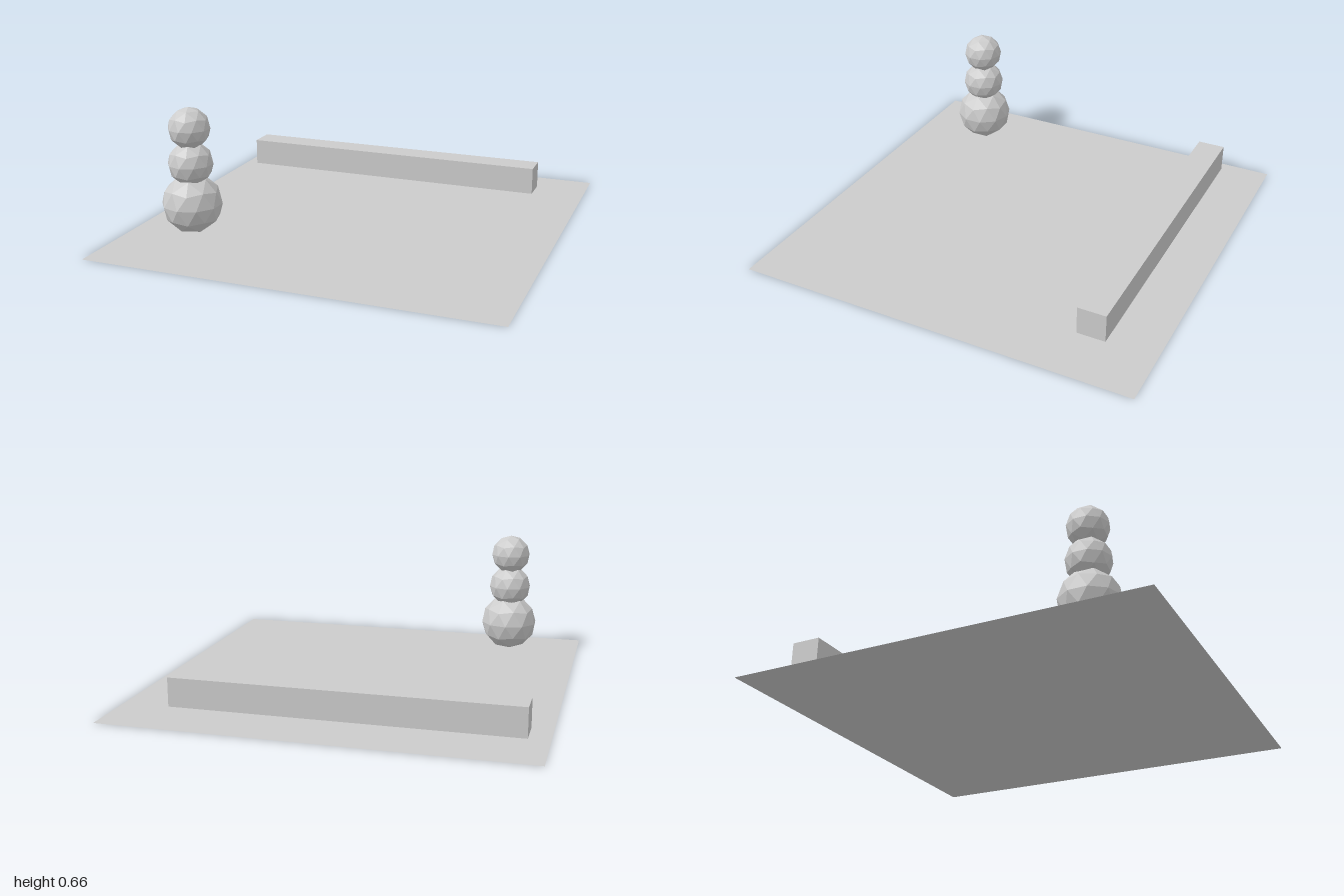
import * as THREE from 'three';

export function createModel() {
  const model = new THREE.Group();
  const grey = new THREE.MeshStandardMaterial({ color: 0xcccccc, flatShading: true });

  const add = (name, geometry, x, y, z, material = grey, parent = model) => {
    const mesh = new THREE.Mesh(geometry, material);
    mesh.name = name;
    mesh.position.set(x, y, z);
    parent.add(mesh);
    return mesh;
  };

  // Flat ground sheet, visible from both sides
  const sheet = grey.clone();
  sheet.side = THREE.DoubleSide;
  add('ground', new THREE.PlaneGeometry(2, 2).rotateX(-Math.PI / 2), 0, 0, 0, sheet);

  // Long low wall along the back, floating just above the ground
  add('wall', new THREE.BoxGeometry(1.65, 0.14, 0.14), -0.08, 0.092, -0.693);

  // Snowman: three faceted balls, each turned so a corner points straight up
  const snowman = new THREE.Group();
  snowman.name = 'snowman';
  snowman.position.set(-0.642, 0, 0.593);
  model.add(snowman);
  const tilt = -Math.atan(2 / (1 + Math.sqrt(5)));
  const balls = [
    ['base', 0.146, 0.19],
    ['torso', 0.109, 0.388],
    ['head', 0.101, 0.56],
  ];
  for (const [name, radius, y] of balls) {
    add(name, new THREE.IcosahedronGeometry(radius, 1).rotateZ(tilt), 0, y, 0, grey, snowman);
  }

  return model;
}
